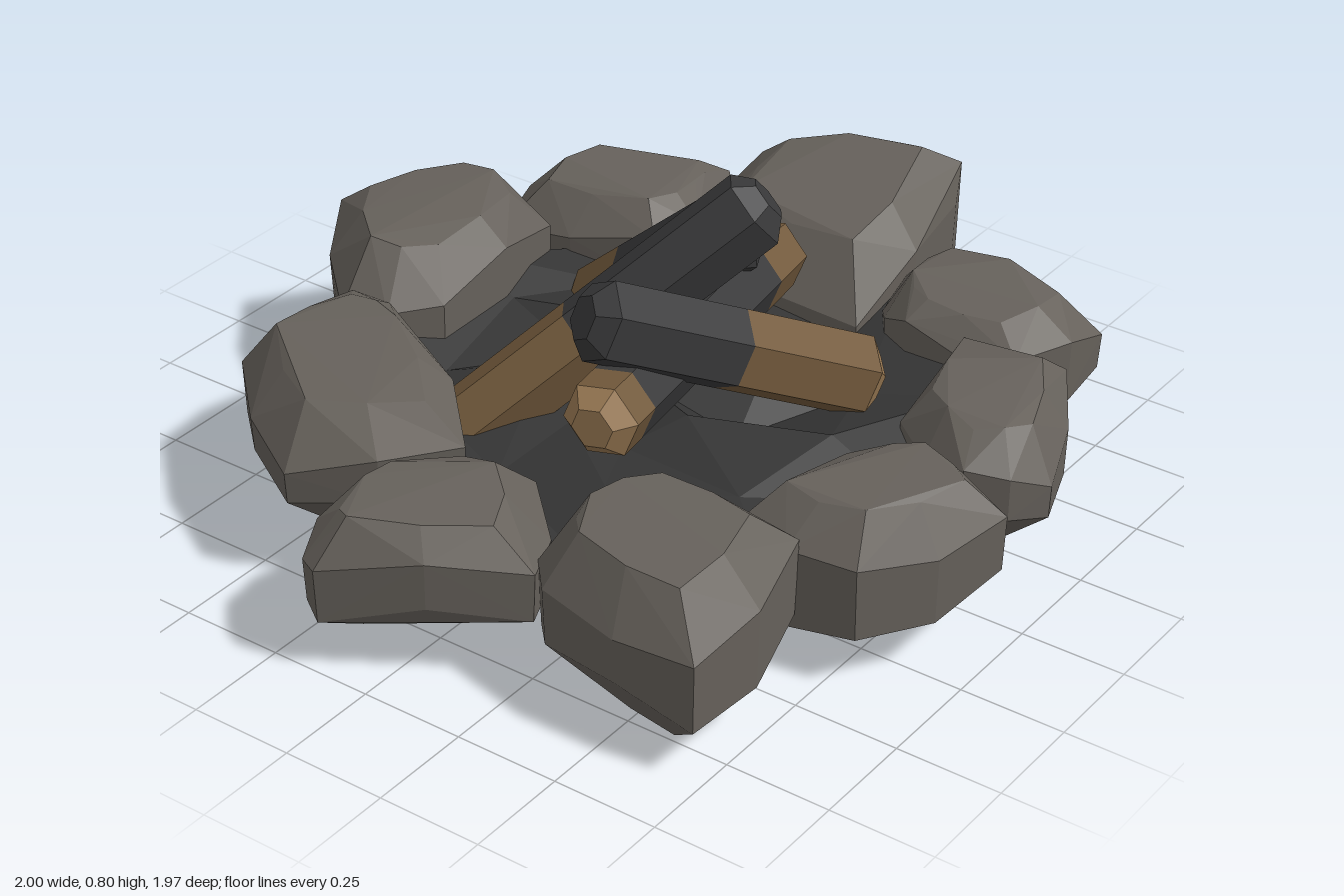
import * as THREE from 'three';
import { ConvexGeometry } from 'three/addons/geometries/ConvexGeometry.js';

const mat = (name, color) => {
  const m = new THREE.MeshStandardMaterial({ color, flatShading: true });
  m.name = name;
  return m;
};

// Seeded jitter in -1..1
function makeRandom(seed) {
  return () => {
    seed = (seed * 16807) % 2147483647;
    return (seed / 2147483647) * 2 - 1;
  };
}

// Chiselled boulder: hull of four scaled copies of a five-cornered plan with bulged edges
function stoneGeometry(y0, y1, lean, plan, rnd) {
  const corners = plan.map(([x, z]) => new THREE.Vector2(x, z));
  const centre = corners.reduce((sum, c) => sum.add(c), new THREE.Vector2()).divideScalar(corners.length);
  const outline = corners.flatMap((c, i) => {
    const middle = c.clone().lerp(corners[(i + 1) % corners.length], 0.5);
    return [c, middle.sub(centre).multiplyScalar(1.13).add(centre)];
  });
  const points = [new THREE.Vector3(centre.x, y0, centre.y)];
  for (const [t, scale] of [[0, 0.55], [0.32, 0.98], [0.7, 1], [1, 0.66]]) {
    for (const p of outline) {
      const d = p.clone().sub(centre).multiplyScalar(scale);
      const wobble = t === 0 ? 0.03 * (1 + rnd()) : t === 1 ? -0.015 * (1 + rnd()) : 0.05 * rnd();
      const rise = t > 0.5 ? lean * d.x : 0;
      points.push(new THREE.Vector3(centre.x + d.x, y0 + (y1 - y0) * t + wobble + rise, centre.y + d.y));
    }
  }
  return new ConvexGeometry(points);
}

export function createModel() {
  const stone = mat('stone', 0x66615b);
  const ash = mat('ash', 0x353535);
  const char = mat('charredWood', 0x39393a);
  const bark = mat('bark', 0x735a3c);
  const cut = mat('cutWood', 0x9a7a54);

  const model = new THREE.Group();
  model.name = 'campfire';
  const add = (parent, name, geometry, material) => {
    const mesh = new THREE.Mesh(geometry, material);
    mesh.name = name;
    parent.add(mesh);
    return mesh;
  };

  // Ring of stones: bottom, top, slope of the top along x, plan corners [x, z]
  const ring = new THREE.Group();
  ring.name = 'stoneRing';
  model.add(ring);
  const addStone = (name, y0, y1, lean, ...plan) => {
    const rnd = makeRandom(1234 + ring.children.length * 977);
    add(ring, name, stoneGeometry(y0, y1, lean, plan, rnd), stone);
  };
  addStone('backStone', 0.06, 0.47, 0, [-0.21, -0.72], [0.11, -0.99], [0.41, -0.8], [0.35, -0.54], [-0.08, -0.52]);
  addStone('backLeftStone', 0.09, 0.42, 0, [0.38, -0.71], [0.68, -0.7], [0.81, -0.34], [0.68, -0.26], [0.44, -0.3]);
  addStone('leftStone', 0.09, 0.5, 0.26, [0.53, -0.25], [0.85, -0.27], [1, 0.14], [0.94, 0.23], [0.48, 0.25]);
  addStone('frontLeftStone', 0.13, 0.42, 0.05, [0.45, 0.4], [0.56, 0.27], [0.8, 0.28], [0.76, 0.74], [0.47, 0.68]);
  addStone('frontStoneLeft', 0.07, 0.41, 0.03, [0.04, 0.81], [0.15, 0.58], [0.46, 0.55], [0.49, 0.8], [0.18, 0.95]);
  addStone('frontStoneRight', 0.05, 0.41, 0, [-0.39, 0.52], [-0.08, 0.59], [0.05, 0.76], [-0.06, 0.98], [-0.39, 0.82]);
  addStone('frontRightStone', 0, 0.42, 0.03, [-0.84, 0.73], [-0.79, 0.31], [-0.61, 0.22], [-0.39, 0.34], [-0.41, 0.69]);
  addStone('rightStone', 0.08, 0.38, 0.08, [-1, -0.13], [-0.9, -0.2], [-0.68, -0.21], [-0.51, 0.08], [-0.76, 0.27]);
  addStone('backRightStone', 0.08, 0.43, 0.03, [-0.79, -0.39], [-0.5, -0.77], [-0.19, -0.7], [-0.22, -0.48], [-0.55, -0.08]);

  // Thin, crumpled ash bed
  const profile = [[0, 0.24], [0.25, 0.24], [0.5, 0.24], [0.7, 0.24], [0.7, 0.27], [0.5, 0.27], [0.25, 0.27], [0, 0.27]];
  const bed = new THREE.LatheGeometry(profile.map(([r, y]) => new THREE.Vector2(r, y)), 11);
  const pos = bed.attributes.position;
  for (let i = 0; i < pos.count; i++) {
    const x = pos.getX(i), z = pos.getZ(i);
    if (Math.hypot(x, z) < 0.01) continue;
    pos.setXYZ(
      i,
      x * (1 + 0.08 * Math.sin(z * 21)),
      pos.getY(i) + 0.06 * Math.sin(x * 17 + 1) * Math.cos(z * 13),
      z * (1 + 0.08 * Math.sin(x * 19)),
    );
  }
  add(model, 'ashBed', bed, ash);

  // Six-sided log, split along its length into [end fraction, material] spans
  const bevel = 0.04;
  function addLog(name, from, to, r, ...spans) {
    const a = new THREE.Vector3(...from), b = new THREE.Vector3(...to);
    const length = a.distanceTo(b);
    const log = new THREE.Group();
    log.name = name;
    log.position.copy(a);
    log.quaternion.setFromUnitVectors(new THREE.Vector3(0, 1, 0), b.clone().sub(a).normalize());
    let start = bevel;
    spans.forEach(([t, material]) => {
      const end = Math.min(t * length, length - bevel);
      add(log, material.name + 'Section', new THREE.CylinderGeometry(r, r, end - start, 6, 1, true), material)
        .position.y = (start + end) / 2;
      start = end;
    });
    const endMaterial = ([, m]) => (m === bark ? cut : m);
    const small = r * 0.55;
    add(log, 'lowerTip', new THREE.CylinderGeometry(r, small, bevel, 6), endMaterial(spans[0]))
      .position.y = bevel / 2;
    add(log, 'upperTip', new THREE.CylinderGeometry(small, r, bevel, 6), endMaterial(spans.at(-1)))
      .position.y = length - bevel / 2;
    model.add(log);
  }

  // Three leaning logs, charred at the top, and one lying across
  addLog('frontLog', [0.25, 0.32, 0.44], [-0.34, 0.63, 0.08], 0.098, [0.5, bark], [1, char]);
  addLog('tallLog', [-0.34, 0.19, -0.29], [0.15, 0.75, 0.22], 0.095, [0.43, bark], [1, char]);
  addLog('backLog', [0.32, 0.18, -0.39], [0.22, 0.61, 0.1], 0.1, [0.35, bark], [1, char]);
  addLog('crossLog', [-0.43, 0.43, 0.17], [0.48, 0.42, 0.03], 0.092, [0.13, bark], [0.81, char], [1, bark]);

  return model;
}
